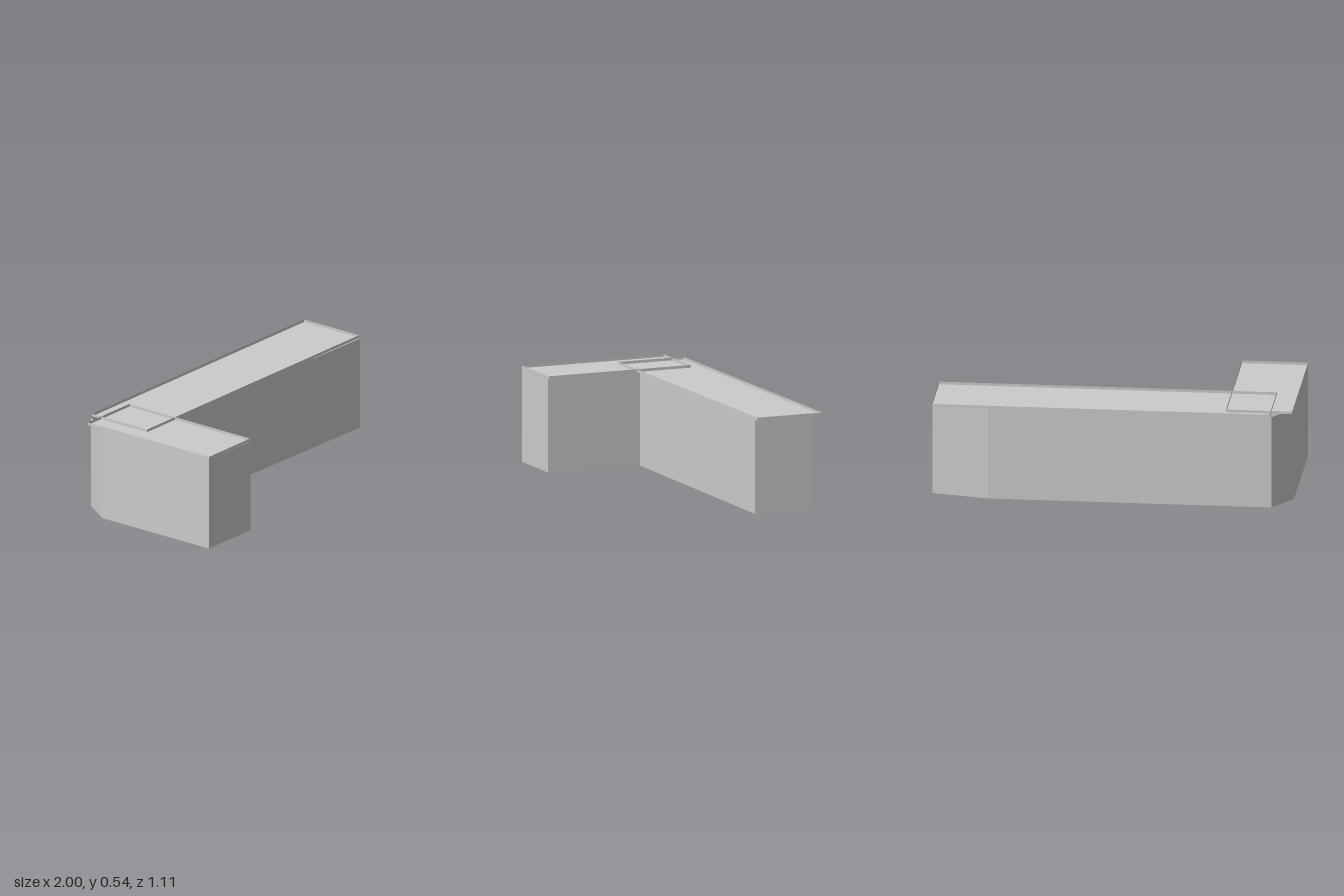
import * as THREE from 'three';

const WALL_TOP = 0.52, ROOF_TOP = 0.535;
const material = new THREE.MeshStandardMaterial({ color: 0xcccccc, flatShading: true, side: THREE.DoubleSide });

// Upright faces along a closed [x, z] outline, optionally closed by a flat floor at y0
function makeShell(name, outline, y0, y1, floor) {
  const positions = [];
  outline.forEach(([ax, az], i) => {
    const [bx, bz] = outline[(i + 1) % outline.length];
    positions.push(ax, y0, az, bx, y0, bz, bx, y1, bz);
    positions.push(ax, y0, az, bx, y1, bz, ax, y1, az);
  });
  if (floor) {
    for (let i = 1; i < outline.length - 1; i++) {
      for (const [x, z] of [outline[0], outline[i], outline[i + 1]]) positions.push(x, y0, z);
    }
  }
  const geometry = new THREE.BufferGeometry();
  geometry.setAttribute('position', new THREE.Float32BufferAttribute(positions, 3));
  geometry.computeVertexNormals();
  const mesh = new THREE.Mesh(geometry, material);
  mesh.name = name;
  return mesh;
}

export function createModel() {
  const group = new THREE.Group();
  group.name = 'building';

  // L-shaped walls, open underneath, with the back corners cut off
  const walls = [
    [-0.917, 0.554], [-0.558, 0.521], [-0.603, -0.021], [0.99, -0.157],
    [0.966, -0.488], [0.65, -0.521], [-0.9, -0.364], [-0.99, -0.19],
  ];
  group.add(makeShell('walls', walls, 0, WALL_TOP, false));

  // Two overlapping flat roofs, each with a thin raised rim
  const longRoof = [[-0.851, 0.018], [0.995, -0.169], [0.956, -0.554], [-0.89, -0.367]];
  const shortRoof = [[-0.917, 0.554], [-0.556, 0.517], [-0.639, -0.327], [-1, -0.29]];
  group.add(makeShell('longWingRoof', longRoof, WALL_TOP, ROOF_TOP, true));
  group.add(makeShell('shortWingRoof', shortRoof, WALL_TOP, ROOF_TOP, true));

  return group;
}
